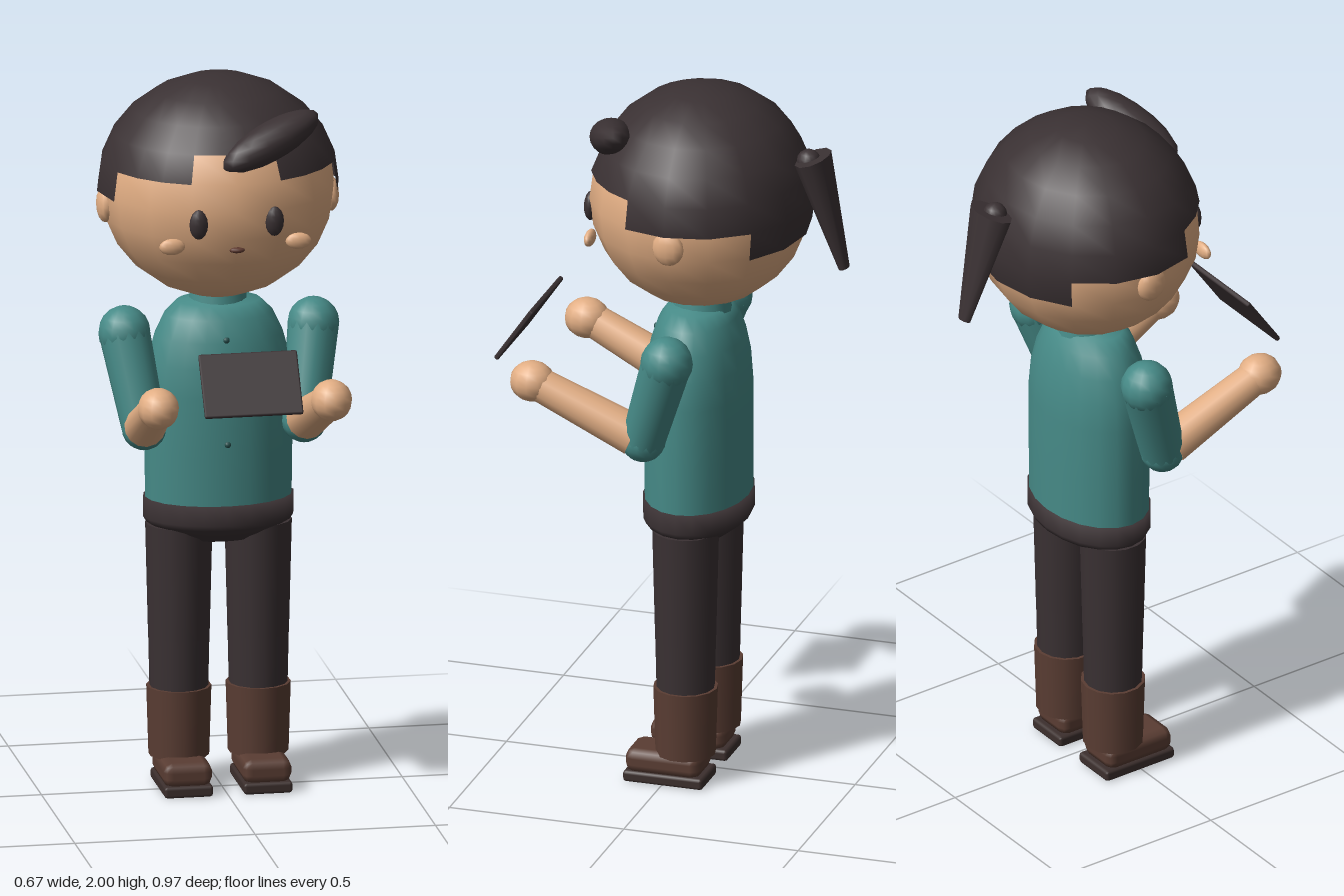
import * as THREE from 'three';
import { RoundedBoxGeometry } from 'three/addons/geometries/RoundedBoxGeometry.js';

const DEG = Math.PI / 180;
const mat = (name, color, side = THREE.FrontSide) => {
  const m = new THREE.MeshStandardMaterial({ color, side });
  m.name = name;
  return m;
};

export function createModel() {
  const skin = mat('skin', 0xe2ae84);
  const dark = mat('dark charcoal', 0x3a3133, THREE.DoubleSide);
  const teal = mat('teal shirt', 0x468a87);
  const buttonTeal = mat('dark teal', 0x28514f);
  const brown = mat('boot brown', 0x5a3d33);
  const sole = mat('sole brown', 0x3c2f2d);
  const lip = mat('lip brown', 0x5e3a30);

  const model = new THREE.Group();
  model.name = 'figure';
  const add = (name, geo, material, x = 0, y = 0, z = 0, parent = model) => {
    const m = new THREE.Mesh(geo, material);
    m.name = name;
    m.position.set(x, y, z);
    parent.add(m);
    return m;
  };
  const ball = (name, material, p, r, ws = 14, hs = 10) => {
    const m = add(name, new THREE.SphereGeometry(1, ws, hs), material, ...p);
    m.scale.set(...r);
    return m;
  };
  // Tapered limb between two points
  const limb = (name, material, a, b, ra, rb, sides = 14) => {
    const A = new THREE.Vector3(...a), B = new THREE.Vector3(...b);
    const d = B.clone().sub(A);
    const m = add(name, new THREE.CylinderGeometry(rb, ra, d.length(), sides), material);
    m.position.copy(A).add(B).multiplyScalar(0.5);
    m.quaternion.setFromUnitVectors(new THREE.Vector3(0, 1, 0), d.normalize());
    return m;
  };

  // Head and face
  const HY = 1.685, HZ = -0.06;
  ball('head', skin, [0, HY, HZ], [0.322, 0.306, 0.305], 16, 12);
  ball('mouth', lip, [0, 1.58, 0.232], [0.022, 0.008, 0.012], 10, 6);
  for (const s of [1, -1]) {
    ball('eye', dark, [s * 0.105, 1.655, 0.224], [0.026, 0.042, 0.018], 12, 8);
    ball('cheek', skin, [s * 0.175, 1.59, 0.203], [0.036, 0.023, 0.014], 12, 8);
    ball('ear', skin, [s * 0.312, 1.645, -0.065], [0.024, 0.05, 0.045], 12, 8);
  }

  // Hair cap: sphere strips of [start, sweep, lower edge] in degrees, front at 90
  const hair = new THREE.Group();
  hair.name = 'hair';
  hair.position.set(0, HY, HZ);
  hair.scale.set(0.335, 0.315, 0.31);
  model.add(hair);
  const strips = [
    [22.5, 45, 75], [67.5, 45, 60], [112.5, 45, 75],
    [157.5, 67.5, 90], [225, 90, 105], [315, 67.5, 90],
  ];
  for (const [start, sweep, edge] of strips) {
    add('hairCap', new THREE.SphereGeometry(1, sweep / 22.5, edge / 15,
      start * DEG, sweep * DEG, 0, edge * DEG), dark, 0, 0, 0, hair);
  }
  const fringe = ball('fringe', dark, [0.105, 1.865, 0.165], [0.16, 0.052, 0.06], 14, 10);
  fringe.rotation.set(0, 0.35, 0.36);

  // Ponytail
  ball('hairTie', dark, [0, 1.82, -0.367], [0.034, 0.034, 0.034], 12, 8);
  const tail = add('ponytail', new THREE.CylinderGeometry(0.075, 0.022, 0.325, 10), dark, 0, 1.675, -0.424);
  tail.scale.z = 0.65;
  tail.rotation.x = 0.28;

  // Shirt and hips
  const lathe = (name, pts, material) => {
    const g = new THREE.LatheGeometry(pts.map(([r, y]) => new THREE.Vector2(r, y)), 20);
    add(name, g, material, 0, 0, -0.052).scale.z = 0.7;
  };
  lathe('shirt', [[0.203, 0.8], [0.205, 0.95], [0.205, 1.12], [0.197, 1.2], [0.178, 1.27],
    [0.15, 1.33], [0.115, 1.365], [0, 1.385]], teal);
  lathe('hips', [[0, 0.7], [0.12, 0.7], [0.2, 0.745], [0.209, 0.76], [0.209, 0.815], [0, 0.816]], dark);
  add('collar', new THREE.CylinderGeometry(0.075, 0.085, 0.06, 16), teal, 0, 1.37, -0.06);
  for (const [y, z] of [[0.99, 0.091], [1.085, 0.091], [1.185, 0.088], [1.28, 0.07]]) {
    ball('button', buttonTeal, [0, y, z], [0.009, 0.009, 0.007], 8, 6);
  }

  for (const s of [1, -1]) {
    // Arm
    const shoulder = [s * 0.262, 1.285, -0.045], elbow = [s * 0.222, 1.035, 0.035];
    const wrist = [s * 0.24, 1.165, 0.32];
    ball('shoulder', teal, shoulder, [0.072, 0.074, 0.072]);
    limb('sleeve', teal, elbow, shoulder, 0.061, 0.07);
    ball('elbow', teal, elbow, [0.062, 0.062, 0.062]);
    limb('forearm', skin, [s * 0.224, 1.045, 0.06], wrist, 0.057, 0.047);
    ball('hand', skin, [s * 0.24, 1.175, 0.347], [0.057, 0.057, 0.063], 12, 10);

    // Leg
    const x = s * 0.11;
    add('thigh', new THREE.CylinderGeometry(0.092, 0.084, 0.32, 14), dark, x, 0.58, -0.05);
    add('shin', new THREE.CylinderGeometry(0.084, 0.08, 0.18, 14), dark, x, 0.35, -0.05);
    add('boot', new THREE.CylinderGeometry(0.089, 0.083, 0.195, 14), brown, x, 0.182, -0.05);
    add('shoe', new RoundedBoxGeometry(0.135, 0.068, 0.215, 1, 0.025), brown, x, 0.06, 0);
    add('sole', new RoundedBoxGeometry(0.135, 0.032, 0.228, 1, 0.009), sole, x, 0.016, -0.004);
  }

  // Tablet floating before the hands
  const tablet = add('tablet', new RoundedBoxGeometry(0.273, 0.184, 0.014, 1, 0.005), dark, 0, 1.256, 0.436);
  tablet.rotation.x = -0.6;

  return model;
}
